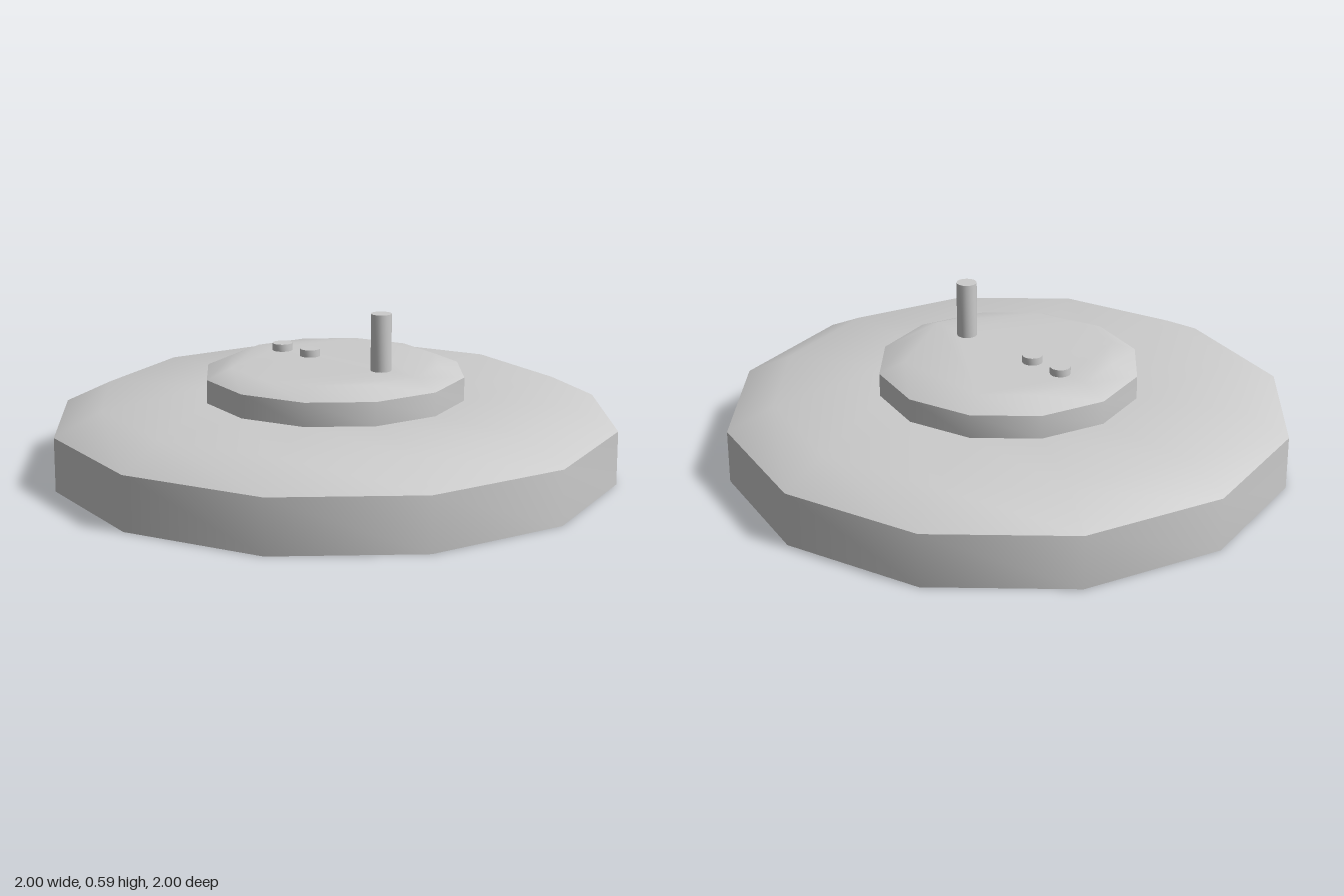
import * as THREE from 'three';
import { mergeGeometries, toCreasedNormals } from 'three/addons/utils/BufferGeometryUtils.js';

const SIDES = 12;
const material = new THREE.MeshStandardMaterial({ color: 0xcccccc, side: THREE.DoubleSide });
const crease = (geometry) => toCreasedNormals(geometry, THREE.MathUtils.degToRad(35));

// Open shell turned around y from [radius, height] pairs
function turned(profile, sides) {
  return new THREE.LatheGeometry(profile.map(([r, y]) => new THREE.Vector2(r, y)), sides);
}

function addPart(group, name, geometry) {
  const mesh = new THREE.Mesh(crease(geometry), material);
  mesh.name = name;
  group.add(mesh);
  return mesh;
}

export function createModel() {
  const model = new THREE.Group();
  model.name = 'steppedDisc';

  const hubRadius = 0.463, hubTop = 0.39, capRadius = 0.375;
  const pinRadius = 0.036;
  const pins = [
    { name: 'tallPin', z: 0.218, height: 0.2 },
    { name: 'innerShortPin', z: -0.118, height: 0.026 },
    { name: 'outerShortPin', z: -0.255, height: 0.026 },
  ];

  // Wide bevelled base, hollow and open underneath
  addPart(model, 'base', turned([[1, 0], [1, 0.19], [0.835, 0.27], [hubRadius, 0.27]], SIDES));

  // Hub: bevelled wall and a flat cap, pierced where the hollow pins stand
  const cap = new THREE.Shape();
  for (let i = 0; i < SIDES; i++) {
    const a = (i / SIDES) * Math.PI * 2;
    cap[i ? 'lineTo' : 'moveTo'](capRadius * Math.cos(a), capRadius * Math.sin(a));
  }
  cap.closePath();
  for (const pin of pins) {
    cap.holes.push(new THREE.Path().absarc(0, -pin.z, pinRadius, 0, Math.PI * 2, true));
  }
  const capGeometry = new THREE.ShapeGeometry(cap, 8).rotateX(-Math.PI / 2).translate(0, hubTop, 0);
  const wall = turned([[hubRadius, 0.27], [hubRadius, 0.353], [capRadius, hubTop]], SIDES);
  addPart(model, 'hub', mergeGeometries([wall, capGeometry]));

  // Pins: closed on top, open below
  for (const { name, z, height } of pins) {
    const geometry = turned([[pinRadius, 0], [pinRadius, height], [0, height]], 16);
    addPart(model, name, geometry).position.set(0, hubTop, z);
  }
  return model;
}
